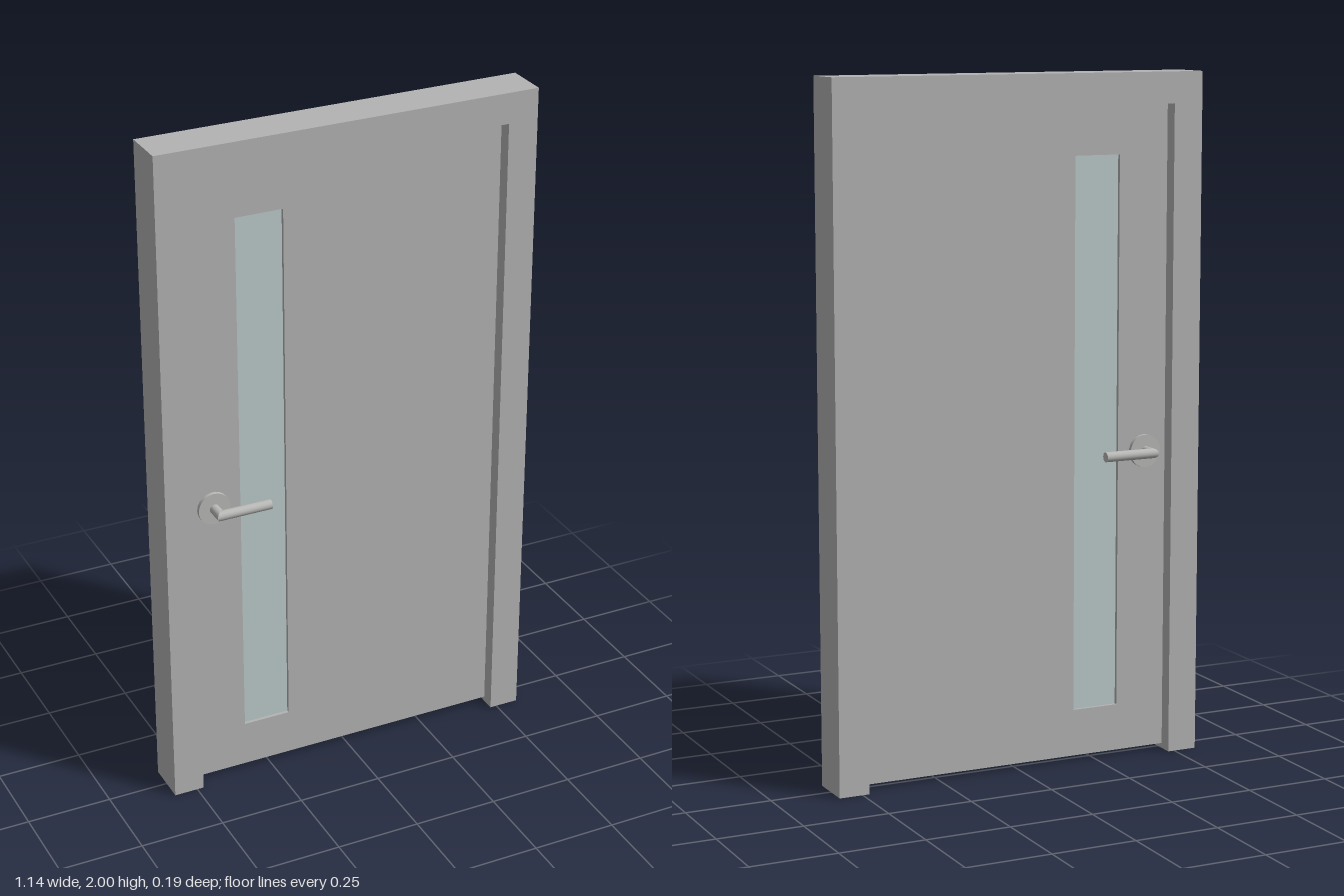
import * as THREE from 'three';

const paint = new THREE.MeshStandardMaterial({ color: 0xb3b3b3 });
paint.name = 'grey paint';
const glass = new THREE.MeshStandardMaterial({ color: 0xbccaca });
glass.name = 'pale glass';
const steel = new THREE.MeshStandardMaterial({ color: 0xb8b8b6 });
steel.name = 'brushed steel';

function mesh(name, geometry, material) {
  const m = new THREE.Mesh(geometry, material);
  m.name = name;
  return m;
}

const corners = (list) => list.map(([x, y]) => new THREE.Vector2(x, y));
const rect = (x0, y0, x1, y1) => corners([[x0, y0], [x1, y0], [x1, y1], [x0, y1]]);

// Extrude an outline so that it is centred on z = 0
function slab(shape, depth) {
  return new THREE.ExtrudeGeometry(shape, { depth, bevelEnabled: false }).translate(0, 0, -depth / 2);
}

// Lever handle seen from its own side of the door, with its spindle along z
function createHandle(name, doorFace) {
  const handle = new THREE.Group();
  handle.name = name;
  const r = 0.0145, reach = 0.079, length = 0.153;

  const rose = new THREE.CylinderGeometry(0.048, 0.048, 0.012, 32).rotateX(Math.PI / 2);
  rose.translate(0, 0, doorFace + 0.006);

  // Spindle and grip meet in a mitre: the end ring of each is sheared to 45 degrees
  const stemLength = reach - doorFace;
  const stem = new THREE.CylinderGeometry(r, r, stemLength, 24).rotateX(Math.PI / 2);
  stem.translate(0, 0, doorFace + stemLength / 2);
  const sp = stem.attributes.position;
  for (let i = 0; i < sp.count; i++) {
    if (sp.getZ(i) > reach - 0.001) sp.setZ(i, reach - sp.getX(i));
  }

  const grip = new THREE.CylinderGeometry(r, r, length, 24).rotateZ(-Math.PI / 2);
  grip.translate(length / 2, 0, reach);
  const gp = grip.attributes.position;
  for (let i = 0; i < gp.count; i++) {
    if (gp.getX(i) < 0.001) gp.setX(i, reach - gp.getZ(i));
  }

  handle.add(mesh('rose', rose, steel), mesh('spindle', stem, steel), mesh('lever', grip, steel));
  handle.position.set(-0.41, 0.906, 0);
  return handle;
}

export function createModel() {
  const door = new THREE.Group();
  door.name = 'door';

  // Frame: two jambs and a head in one outline
  const frame = new THREE.Shape(corners([
    [-0.57, 0], [-0.48, 0], [-0.48, 1.91], [0.48, 1.91],
    [0.48, 0], [0.57, 0], [0.57, 2], [-0.57, 2],
  ]));
  door.add(mesh('frame', slab(frame, 0.132), paint));

  // Leaf with a tall window opening
  const leafHalf = 0.025;
  const leaf = new THREE.Shape(rect(-0.48, 0.015, 0.48, 1.91));
  leaf.holes.push(new THREE.Path(rect(-0.326, 0.153, -0.184, 1.767).reverse()));
  door.add(mesh('leaf', slab(leaf, leafHalf * 2), paint));

  // Glazing, set back from both faces of the leaf
  const pane = mesh('windowPane', new THREE.BoxGeometry(0.142, 1.614, 0.03), glass);
  pane.position.set(-0.255, 0.96, 0);
  door.add(pane);

  // A lever on each side; the back one is turned over about the x axis
  const backHandle = createHandle('backHandle', leafHalf);
  backHandle.rotation.x = Math.PI;
  door.add(createHandle('frontHandle', leafHalf), backHandle);

  return door;
}
